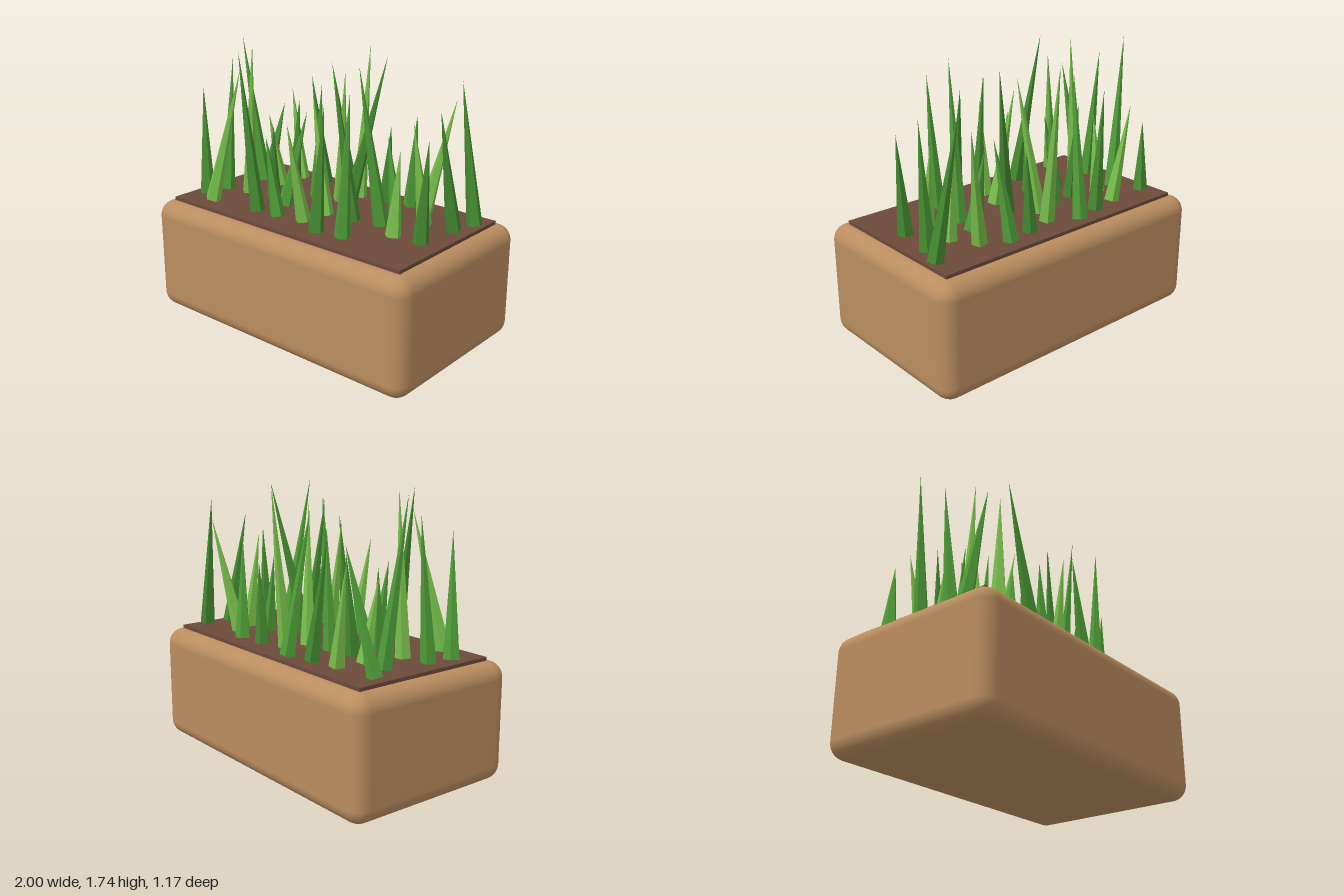
import * as THREE from 'three';
import { RoundedBoxGeometry } from 'three/addons/geometries/RoundedBoxGeometry.js';

const SOIL_TOP = 0.756;

function addMesh(parent, name, geometry, material, x, y, z) {
  const mesh = new THREE.Mesh(geometry, material);
  mesh.name = name;
  mesh.position.set(x, y, z);
  parent.add(mesh);
  return mesh;
}

export function createModel() {
  const group = new THREE.Group();
  group.name = 'grassPlanter';

  const wood = new THREE.MeshStandardMaterial({ color: 0xba8d5f });
  const earth = new THREE.MeshStandardMaterial({ color: 0x6b4a3a });
  const greens = [0x4f9d38, 0x78bf4b, 0x43892f].map(
    (color) => new THREE.MeshStandardMaterial({ color, flatShading: true })
  );

  // Rounded planter box with a slab of soil standing just proud of its top
  addMesh(group, 'planterBox', new RoundedBoxGeometry(2, 0.735, 1.17, 5, 0.1), wood, 0, 0.3675, 0);
  addMesh(group, 'soil', new THREE.BoxGeometry(1.81, 0.1, 0.975), earth, 0, SOIL_TOP - 0.05, 0);

  // Grass blades: rows of nine, last row short; height and lean follow repeating cycles
  const grass = new THREE.Group();
  grass.name = 'grass';
  group.add(grass);
  for (let i = 0; i < 34; i++) {
    const column = i % 9;
    const row = Math.floor(i / 9);
    const height = 0.5 + 0.12 * (i % 5);
    const blade = addMesh(
      grass, 'grassBlade', new THREE.ConeGeometry(0.05, height, 5), greens[i % 3],
      (column - 4) * 0.195, SOIL_TOP + height / 2, -0.345 + row * 0.22
    );
    blade.rotation.x = (((i * 2) % 7) - 3) * 0.05;
    blade.rotation.z = -(((i + 6) % 7) - 3) * 0.06;
  }
  return group;
}
